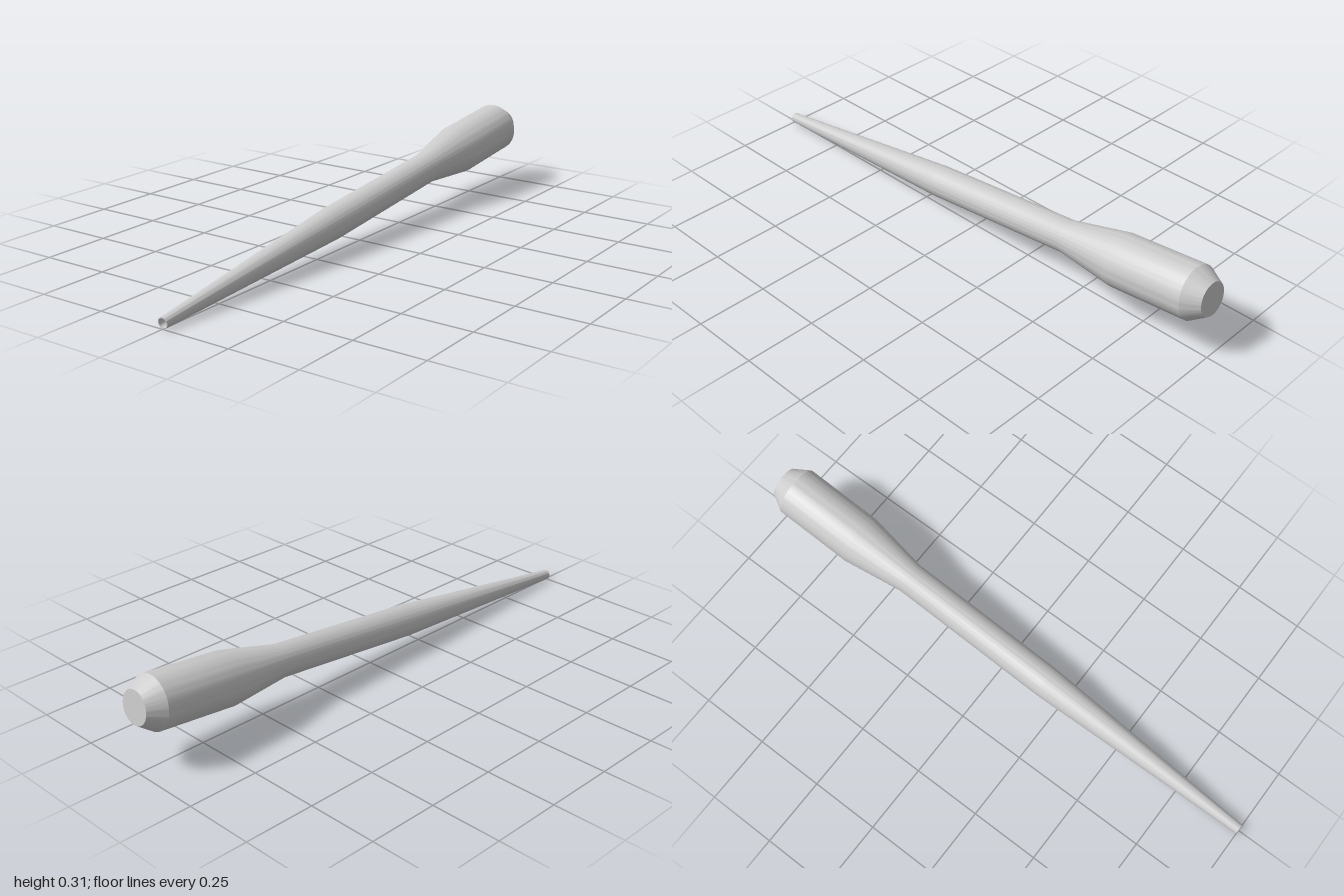
import * as THREE from 'three';
import { toCreasedNormals } from 'three/addons/utils/BufferGeometryUtils.js';

export function createModel() {
  const group = new THREE.Group();
  group.name = 'taperedHandle';
  const material = new THREE.MeshStandardMaterial({ color: 0xcccccc });

  // Radius and distance along the axis, from the hollow tip to the closed butt
  const profile = [
    [0, 0.4], [0.0155, 0.4], [0.0155, 0], // bore in the tip
    [0.0185, 0], [0.057, 0.83],           // tapered neck
    [0.057, 1.43], [0.092, 1.655],        // shaft and flare
    [0.092, 1.945], [0.058, 2.003],       // grip and chamfer
    [0, 2.003],                           // flat butt
  ].map(([r, t]) => new THREE.Vector2(r, t));

  const geometry = toCreasedNormals(new THREE.LatheGeometry(profile, 64), 0.3);
  const body = new THREE.Mesh(geometry, material);
  body.name = 'turnedBody';

  // Lay the axis back, rising six degrees towards the butt
  const tilt = THREE.MathUtils.degToRad(6);
  body.rotation.x = tilt - Math.PI / 2;
  body.position.set(0, 0.0185 * Math.cos(tilt), 0.998);
  group.add(body);
  return group;
}
